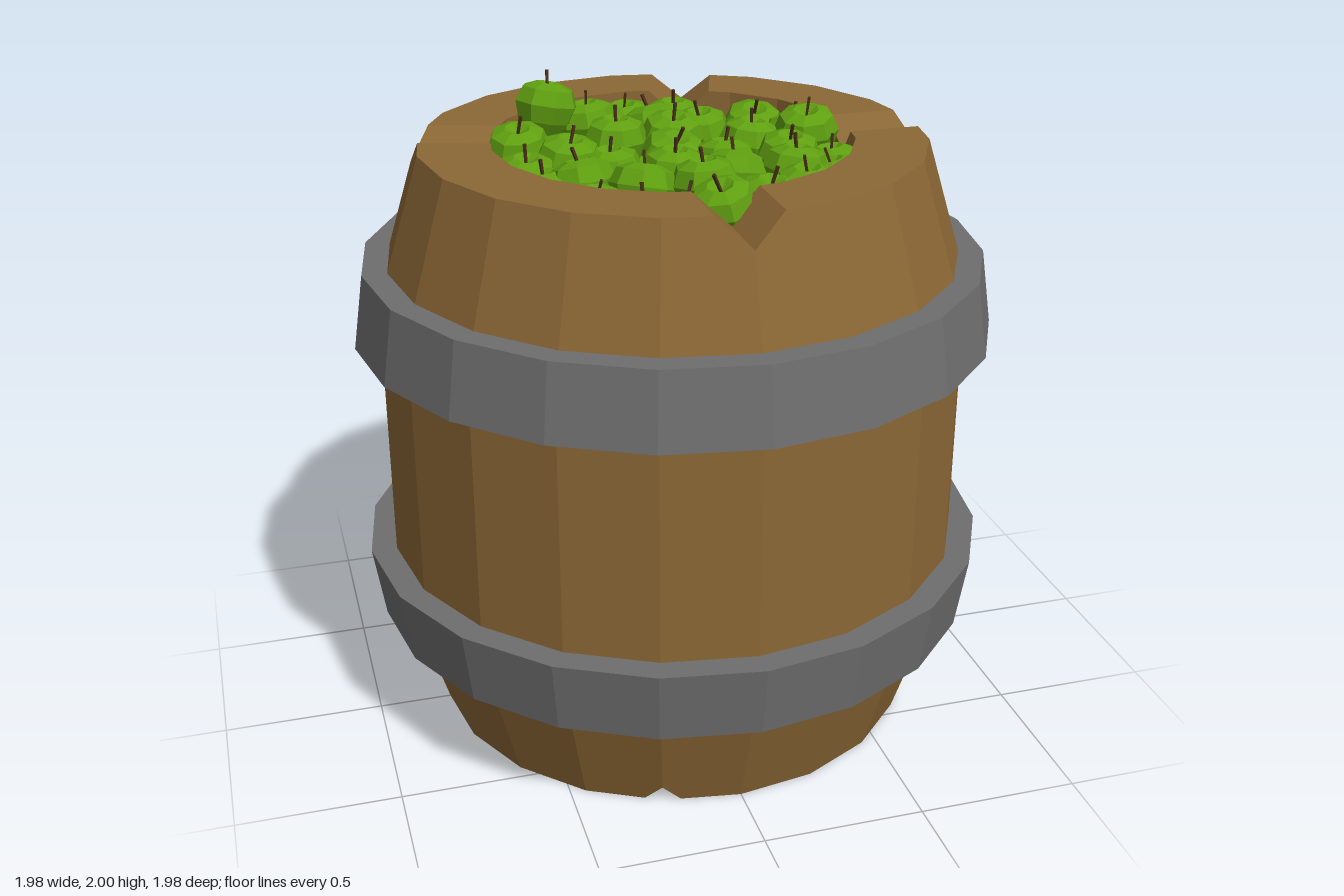
import * as THREE from 'three';

const SIDES = 20;
const wood = new THREE.MeshStandardMaterial({ color: 0x8b6735 });
wood.name = 'wood';
const iron = new THREE.MeshStandardMaterial({ color: 0x6e6e6e });
iron.name = 'iron';
const green = new THREE.MeshStandardMaterial({ color: 0x5f9f10 });
green.name = 'appleGreen';
const brown = new THREE.MeshStandardMaterial({ color: 0x4a3018 });
brown.name = 'stemBrown';

// Faceted copy of a geometry
function facet(geometry) {
  const g = geometry.index ? geometry.toNonIndexed() : geometry;
  g.computeVertexNormals();
  return g;
}

function add(parent, name, geometry, material) {
  const mesh = new THREE.Mesh(geometry, material);
  mesh.name = name;
  parent.add(mesh);
  return mesh;
}

function lathe(points, sides) {
  return facet(new THREE.LatheGeometry(points.map(p => new THREE.Vector2(...p)), sides));
}

function seeded(seed) {
  return () => (seed = (seed * 16807) % 2147483647) / 2147483647;
}

// Point on a regular polygon; u counts corners, fractions lie along a side
function onPolygon(u, r, y) {
  const k = Math.floor(u), step = Math.PI * 2 / SIDES;
  const corner = i => new THREE.Vector3(r * Math.cos(i * step), y, r * Math.sin(i * step));
  return corner(k).lerp(corner(k + 1), u - k);
}

// Barrel shell swept round in columns, with V grooves cut in both rims
function barrelGeometry() {
  const topNotches = [0, 5, 11, 16], bottomNotches = [1, 6, 14];
  const columns = [];
  for (let k = 0; k < SIDES; k++) {
    const wide = topNotches.includes(k);
    for (const side of [-1, 0, 1]) {
      const outer = k + side * (wide ? 0.415 : 0.23);
      const inner = k + side * (wide ? 0.58 : 0.32);
      const cutTop = wide && side === 0 ? 0.09 : 0;
      const cutBottom = bottomNotches.includes(k) && side === 0 ? 0.06 : 0;
      columns.push([
        onPolygon(inner, 0, 0.11),
        onPolygon(inner, 0.55, 0.11),
        onPolygon(inner, 0.55, cutBottom),
        onPolygon(outer, 0.77 + cutBottom * 0.31, cutBottom),
        onPolygon(outer, 0.88, 0.355),
        onPolygon(outer, 0.91, 0.452),
        onPolygon(outer, 0.91, 1.408),
        onPolygon(outer, 0.88, 1.505),
        onPolygon(outer, 0.77 + cutTop * 0.31, 1.86 - cutTop),
        onPolygon(inner, 0.55, 1.86 - cutTop),
        onPolygon(inner, 0.55, 1.6),
      ]);
    }
  }
  const points = [];
  columns.forEach((a, i) => {
    const b = columns[(i + 1) % columns.length];
    for (let j = 0; j < a.length - 1; j++) {
      if (j > 0) points.push(a[j], a[j + 1], b[j]);
      points.push(b[j], a[j + 1], b[j + 1]);
    }
  });
  return facet(new THREE.BufferGeometry().setFromPoints(points));
}

// Apple places: x, z, height of the top
const APPLES = [
  [-0.32, -0.33, 1.965], [-0.15, -0.46, 1.86], [-0.02, -0.49, 1.84], [0.14, -0.48, 1.84],
  [0.03, -0.32, 1.87], [0.19, -0.34, 1.84], [0.36, -0.32, 1.85], [0.45, -0.17, 1.85],
  [0.27, -0.08, 1.87], [0.44, -0.03, 1.91], [-0.13, -0.18, 1.88], [0.05, -0.18, 1.88],
  [-0.43, -0.21, 1.87], [-0.32, -0.01, 1.88], [-0.2, 0.04, 1.85], [0, 0, 1.87],
  [0.14, 0.08, 1.86], [0.35, 0.06, 1.86], [0.47, 0.13, 1.83], [-0.46, 0.05, 1.85],
  [-0.43, 0.18, 1.84], [-0.32, 0.2, 1.87], [-0.04, 0.16, 1.87], [0.12, 0.23, 1.87],
  [0.31, 0.23, 1.87], [0.43, 0.26, 1.83], [-0.18, 0.32, 1.88], [0, 0.35, 1.89],
  [-0.33, 0.37, 1.84], [0.16, 0.44, 1.85], [0.29, 0.4, 1.86], [-0.21, 0.46, 1.83],
  [0.01, 0.5, 1.87], [-0.1, 0.47, 1.83],
];

export function createModel() {
  const model = new THREE.Group();
  model.name = 'appleBarrel';
  add(model, 'barrel', barrelGeometry(), wood);

  // Hoops, each tapering away from the middle
  add(model, 'upperHoop', lathe(
    [[0.89, 1.28], [0.99, 1.28], [0.955, 1.51], [0.86, 1.51]], SIDES), iron);
  add(model, 'lowerHoop', lathe(
    [[0.86, 0.355], [0.955, 0.355], [0.99, 0.585], [0.89, 0.585]], SIDES), iron);

  // Bed of fruit under the visible layer
  const bed = add(model, 'appleBed', facet(new THREE.CircleGeometry(0.55, SIDES)), green);
  bed.rotation.x = -Math.PI / 2;
  bed.position.y = 1.72;

  // Apples with a dimpled top and a thin leaning stem
  const appleGeometry = lathe([[0, -0.09], [0.045, -0.085], [0.083, -0.03], [0.1, 0.025],
    [0.082, 0.072], [0.04, 0.09], [0, 0.065]], 8);
  const stemGeometry = facet(new THREE.CylinderGeometry(0.006, 0.005, 0.07, 4));
  const random = seeded(41);
  for (const [x, z, top] of APPLES) {
    const apple = new THREE.Group();
    apple.name = 'apple';
    add(apple, 'appleFlesh', appleGeometry, green);
    const stem = add(apple, 'appleStem', stemGeometry, brown);
    stem.position.set(0.006, 0.093, 0);
    stem.rotation.z = -0.2;
    apple.position.set(x, top - 0.09, z);
    apple.rotation.set((random() - 0.5) * 0.5, random() * Math.PI * 2, (random() - 0.5) * 0.5);
    model.add(apple);
  }
  return model;
}
